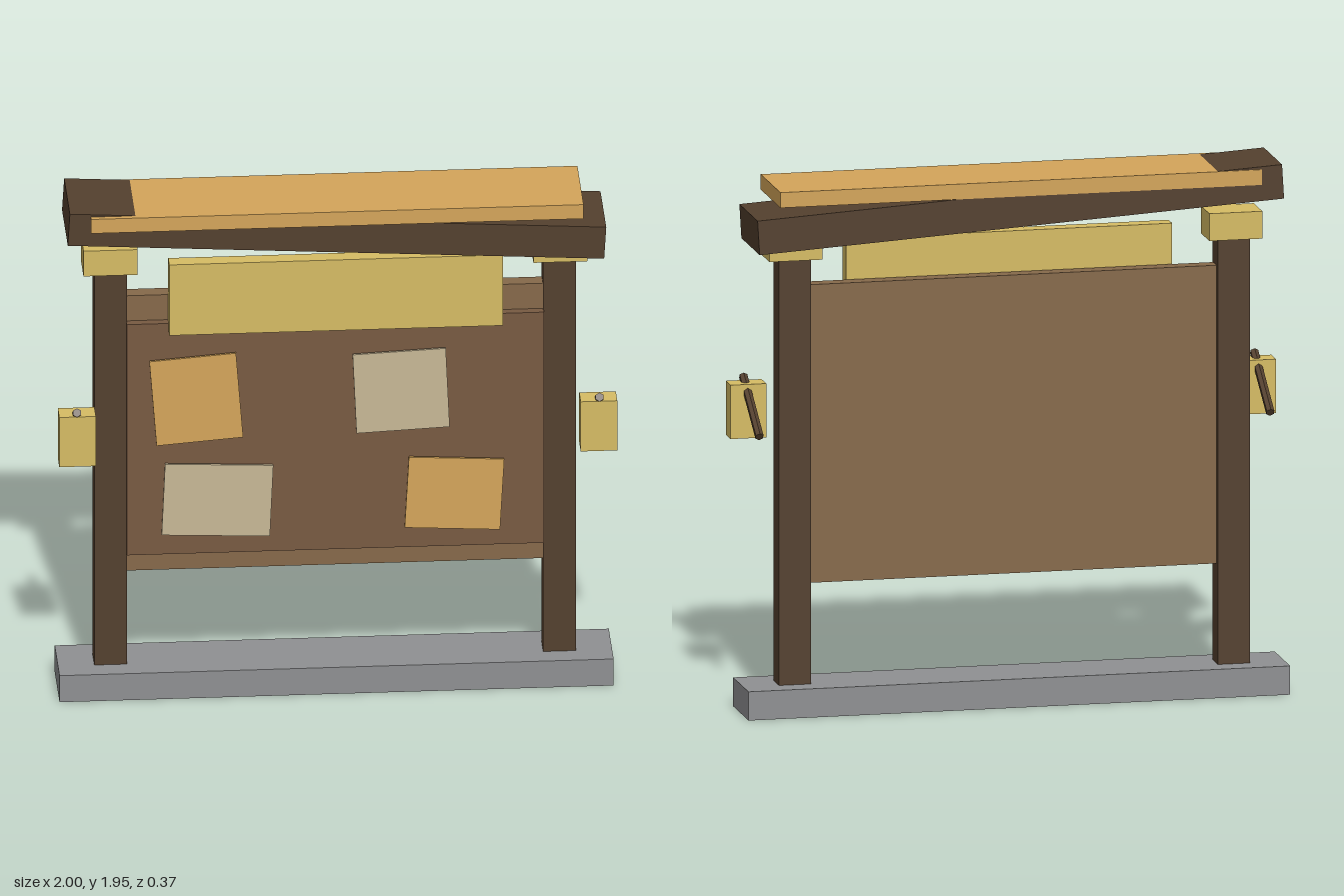
import * as THREE from 'three';

const mat = (color) => new THREE.MeshStandardMaterial({ color, flatShading: true });

export function createModel() {
  const group = new THREE.Group();
  const stone = mat(0x8f9092), darkWood = mat(0x54402e), board = mat(0x86694a);
  const cork = mat(0x785a42), yellow = mat(0xd6bc64), orange = mat(0xd4a55a), cream = mat(0xc8b896);

  // box from size and centre, with an optional tilt in the front plane
  const box = (name, material, [w, h, d], [x, y, z], tilt = 0) => {
    const mesh = new THREE.Mesh(new THREE.BoxGeometry(w, h, d), material);
    mesh.name = name;
    mesh.position.set(x, y, z);
    mesh.rotation.z = tilt;
    group.add(mesh);
    return mesh;
  };

  // plinth
  box('base', stone, [1.985, 0.105, 0.25], [0, 0.0525, -0.03]);

  // posts, caps and hanging lanterns on both sides
  for (const [side, s] of [['left', 1], ['right', -1]]) {
    box(side + 'Post', darkWood, [0.117, 1.56, 0.09], [s * 0.804, 0.88, -0.029]);
    box(side + 'PostCap', yellow, [0.194, 0.1, 0.14], [s * 0.806, 1.71, -0.029]);
    box(side + 'Lantern', yellow, [0.131, 0.197, 0.077], [s * 0.934, 1.073, 0.144]);
    const arm = new THREE.Mesh(new THREE.CylinderGeometry(0.016, 0.016, 0.312, 6), darkWood);
    arm.name = side + 'LanternArm';
    arm.position.set(s * 0.936, 1.103, 0.049);
    arm.rotation.x = Math.atan2(0.263, 0.168);
    group.add(arm);
  }

  // notice board with its pin surface and header
  box('backBoard', board, [1.5, 1.09, 0.055], [0, 1.015, -0.024]);
  box('pinBoard', cork, [1.495, 0.915, 0.034], [0, 1.003, 0.018]);
  box('headerSign', yellow, [1.195, 0.28, 0.057], [0, 1.568, 0.039]);

  // pinned sheets: x, y, width, height, tilt
  [
    [-0.5, 1.166, 0.311, 0.335, 0.077, orange],
    [0.234, 1.176, 0.334, 0.312, 0.045, cream],
    [-0.424, 0.764, 0.388, 0.281, -0.044, cream],
    [0.425, 0.763, 0.342, 0.279, -0.055, orange],
  ].forEach(([x, y, w, h, tilt, m], i) =>
    box('notice' + (i + 1), m, [w, h, 0.009], [x, y, 0.053], tilt));

  // sagging roof beam with a level plank over it
  box('roofBeam', darkWood, [1.925, 0.125, 0.296], [0, 1.825, -0.031], -0.06);
  box('roofPlank', orange, [1.764, 0.056, 0.32], [0, 1.903, -0.024]);

  return group;
}
